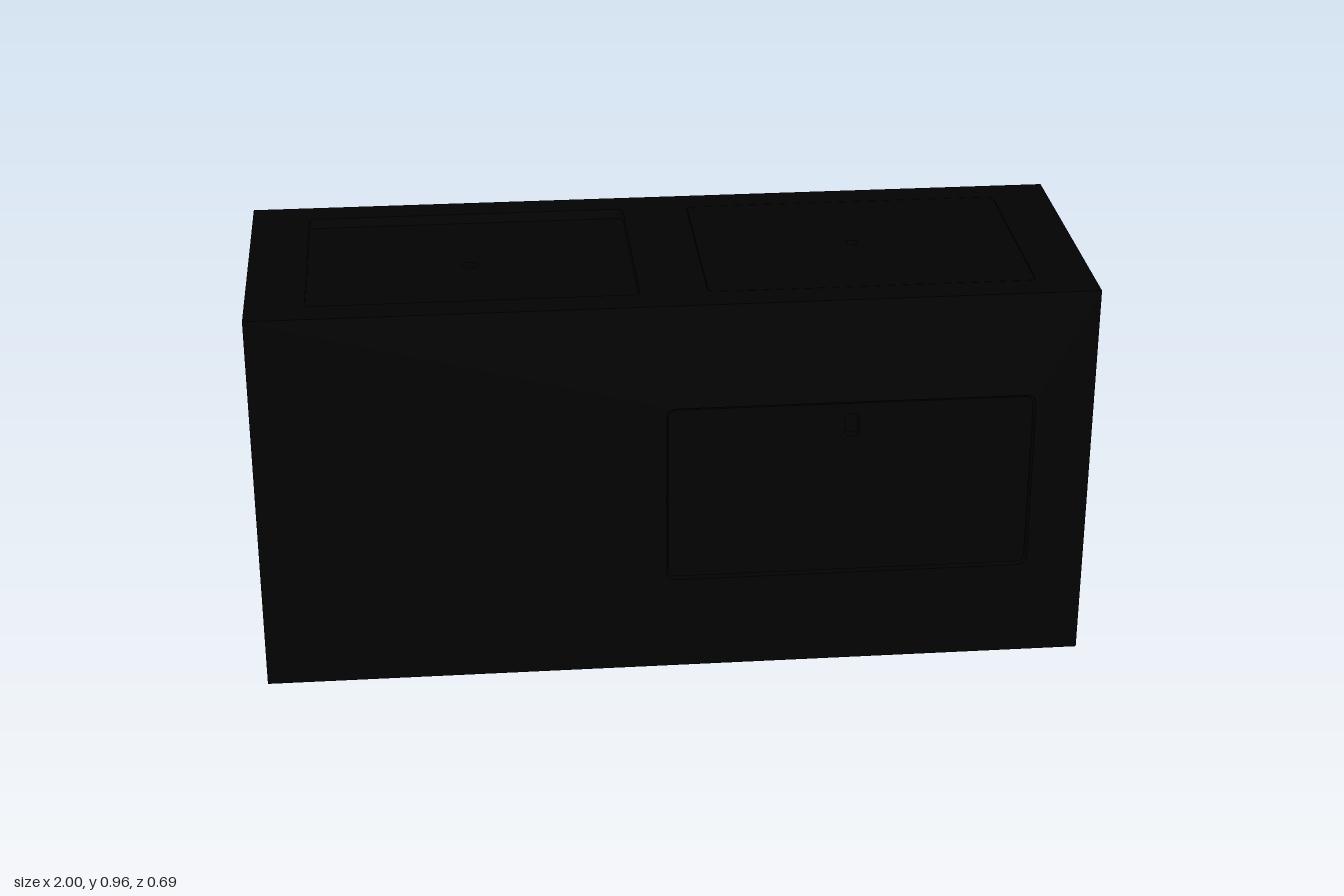
import * as THREE from 'three';

const W = 2, H = 0.965, D = 0.69, T = 0.025;

const rect = (x0, y0, x1, y1, C = THREE.Path) =>
  new C([[x0, y0], [x1, y0], [x1, y1], [x0, y1]].map(([x, y]) => new THREE.Vector2(x, y)));

// Closed outline with every corner rounded off by length r
function rounded(pts, r, C = THREE.Path) {
  const v = pts.map(([x, y]) => new THREE.Vector2(x, y));
  const path = new C();
  v.forEach((p, i) => {
    const towards = q => q.clone().sub(p).setLength(r).add(p);
    const a = towards(v[(i + v.length - 1) % v.length]);
    const b = towards(v[(i + 1) % v.length]);
    if (i) path.lineTo(a.x, a.y);
    else path.moveTo(a.x, a.y);
    path.quadraticCurveTo(p.x, p.y, b.x, b.y);
  });
  path.closePath();
  return path;
}
const roundRect = (x0, y0, x1, y1, r, C) =>
  rounded([[x0, y0], [x1, y0], [x1, y1], [x0, y1]], r, C);
const circle = (x, y, r) => new THREE.Path().absarc(x, y, r, 0, Math.PI * 2);

export function createModel() {
  const group = new THREE.Group();
  const black = new THREE.MeshStandardMaterial({ color: 0x020202 });
  black.name = 'matt black';

  // Flat board cut from a shape, its back at z
  function upright(name, shape, holes, z, depth = T) {
    shape.holes.push(...holes);
    const geo = new THREE.ExtrudeGeometry(shape, { depth, bevelEnabled: false, curveSegments: 6 });
    const mesh = new THREE.Mesh(geo, black);
    mesh.name = name;
    mesh.position.z = z;
    group.add(mesh);
    return mesh;
  }
  // Horizontal board: shape (x, -z), underside at height y
  function flat(name, shape, holes, y, depth) {
    const m = upright(name, shape, holes, 0, depth);
    m.rotation.x = -Math.PI / 2;
    m.position.y = y;
  }
  // Cross board: shape (-z, y), lower x face at x
  function cross(name, shape, holes, x) {
    const m = upright(name, shape, holes, 0);
    m.rotation.y = Math.PI / 2;
    m.position.x = x;
  }

  const xi = W / 2 - T, zi = D / 2 - T;

  // Front board, with a door in a narrow gap
  upright('frontPanel', rect(-1, 0, 1, H, THREE.Shape),
    [roundRect(-0.025, 0.24, 0.86, 0.7, 0.025)], zi);
  upright('frontDoor', roundRect(-0.021, 0.25, 0.853, 0.697, 0.02, THREE.Shape),
    [roundRect(0.4, 0.61, 0.435, 0.67, 0.015)], zi);

  // Back board, cut out so that two X braces remain
  const y0 = 0.23, y1 = 0.76, ym = 0.495, cx = 0.385, slope = 1.33, hw = 0.09;
  const run = (y1 - ym) / slope, half = run - hw;
  const backHoles = [rounded([
    [-cx + run + hw, y0], [cx - run - hw, y0], [cx - hw, ym],
    [cx - run - hw, y1], [-cx + run + hw, y1], [-cx + hw, ym]], 0.03)];
  for (const s of [-1, 1]) {
    backHoles.push(rounded([
      [s * 0.86, y0], [s * 0.86, y1], [s * (cx + run + hw), y1],
      [s * (cx + hw), ym], [s * (cx + run + hw), y0]], 0.03));
    for (const [y, d] of [[y0, 1], [y1, -1]])
      backHoles.push(rounded([
        [s * cx - half, y], [s * cx + half, y], [s * cx, y + d * half * slope]], 0.025));
  }
  upright('backBrace', rect(-1, 0, 1, H, THREE.Shape), backHoles, -D / 2);

  // Ends, the +x one slotted where the shelves, lining and top meet it
  const shelfHeights = [0.45, 0.715];
  const slots = [rect(-0.115, 0.925, 0.115, 0.937)];
  for (const y of shelfHeights)
    for (const z of [-0.125, 0.125])
      slots.push(rect(z - 0.058, y - 0.006, z + 0.058, y + 0.006));
  for (const y of [0.22, 0.48, 0.76]) slots.push(rect(0.278, y - 0.07, 0.292, y + 0.07));
  cross('leftEnd', rect(-zi, 0, zi, H, THREE.Shape), slots, xi);
  cross('rightEnd', rect(-zi, 0, zi, H, THREE.Shape), [], -1);

  // Top board, with a thin ledge plate under each opening and one flush lid
  flat('topPanel', rect(-xi, -zi, xi, zi, THREE.Shape), [
    roundRect(-0.86, -0.27, -0.08, 0.27, 0.02), roundRect(0.08, -0.27, 0.86, 0.27, 0.02)], H - T, T);
  flat('recessedLid', rect(-0.92, -0.3, -0.03, 0.3, THREE.Shape),
    [circle(-0.47, 0, 0.02)], H - T - 0.012, 0.012);
  flat('flushLidLedge', rect(0.03, -0.3, 0.92, 0.3, THREE.Shape),
    [circle(0.46, 0, 0.02)], H - T - 0.012, 0.012);
  flat('flushLid', roundRect(0.0815, -0.2685, 0.8585, 0.2685, 0.02, THREE.Shape),
    [circle(0.46, 0, 0.015)], H - T, T);

  // Bottom board with two openings
  flat('bottomPanel', rect(-xi, -zi, xi, zi, THREE.Shape), [
    roundRect(-0.85, -0.2, -0.08, 0.2, 0.02), roundRect(0.08, -0.2, 0.85, 0.2, 0.02)], 0, T);

  // Inner compartment behind the door
  cross('divider', rect(-zi, T, zi, H - T, THREE.Shape), [], -0.1);
  upright('compartmentBack', rect(-0.075, T, xi, H - T, THREE.Shape), [], -0.293, 0.016);
  for (const y of shelfHeights)
    flat('shelf', rect(-0.075, -zi, xi, 0.277, THREE.Shape), [], y - 0.008, 0.016);

  return group;
}
